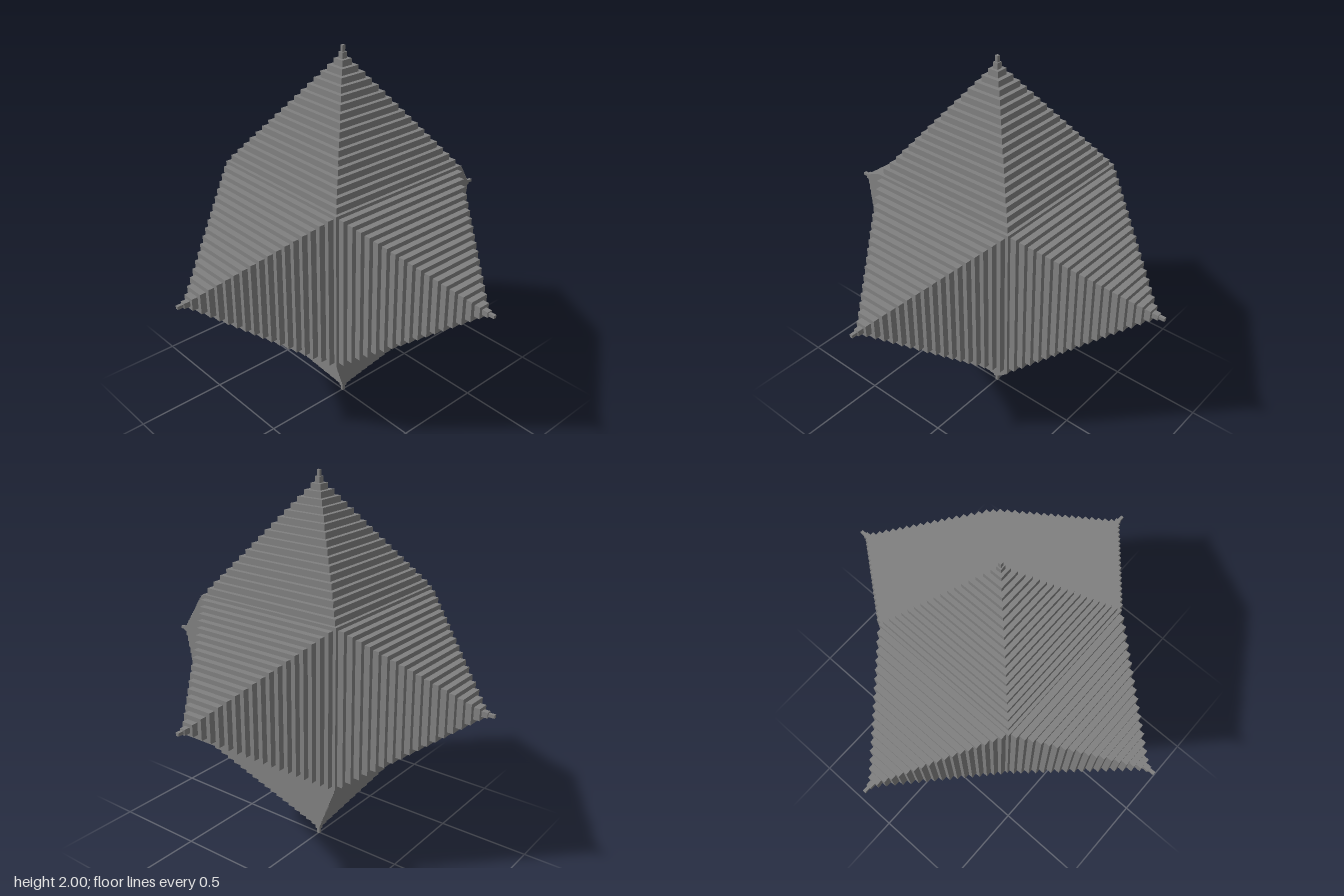
import * as THREE from 'three';

const STEP = 1 / 32;            // thickness of one slab
const LAYERS = 19;              // slabs per stepped arm
const CORE = 1 - LAYERS * STEP; // half size of the central cube
const TIP = [0.008, 0.014, 0.03]; // half widths of the slender tip slabs

// half width of slab i, counted from the tip
function halfWidth(i) {
  return i < TIP.length ? TIP[i] : 0.052 + (i - 3) * 0.0225;
}

// One stepped square pyramid pointing up from the top of the core
function makeArm(name, material) {
  const arm = new THREE.Group();
  arm.name = name;
  for (let i = 0; i < LAYERS; i++) {
    const w = 2 * halfWidth(i);
    const slab = new THREE.Mesh(new THREE.BoxGeometry(w, STEP, w), material);
    slab.position.y = 1 - (i + 0.5) * STEP;
    slab.name = 'slab';
    arm.add(slab);
  }
  return arm;
}

export function createModel() {
  const model = new THREE.Group();
  model.name = 'steppedStar';
  const material = new THREE.MeshStandardMaterial({ color: 0x808080 });

  // Central cube
  const core = new THREE.Mesh(new THREE.BoxGeometry(2 * CORE, 2 * CORE, 2 * CORE), material);
  core.name = 'core';
  core.position.y = 1;
  model.add(core);

  // Six arms, one on each face of the cube
  const q = Math.PI / 2;
  const arms = [
    ['topArm', 0, 0], ['bottomArm', 2 * q, 0],
    ['frontArm', q, 0], ['backArm', -q, 0],
    ['leftArm', 0, -q], ['rightArm', 0, q],
  ];
  for (const [name, rx, rz] of arms) {
    const arm = makeArm(name, material);
    arm.rotation.set(rx, 0, rz);
    arm.position.y = 1;
    model.add(arm);
  }
  return model;
}
